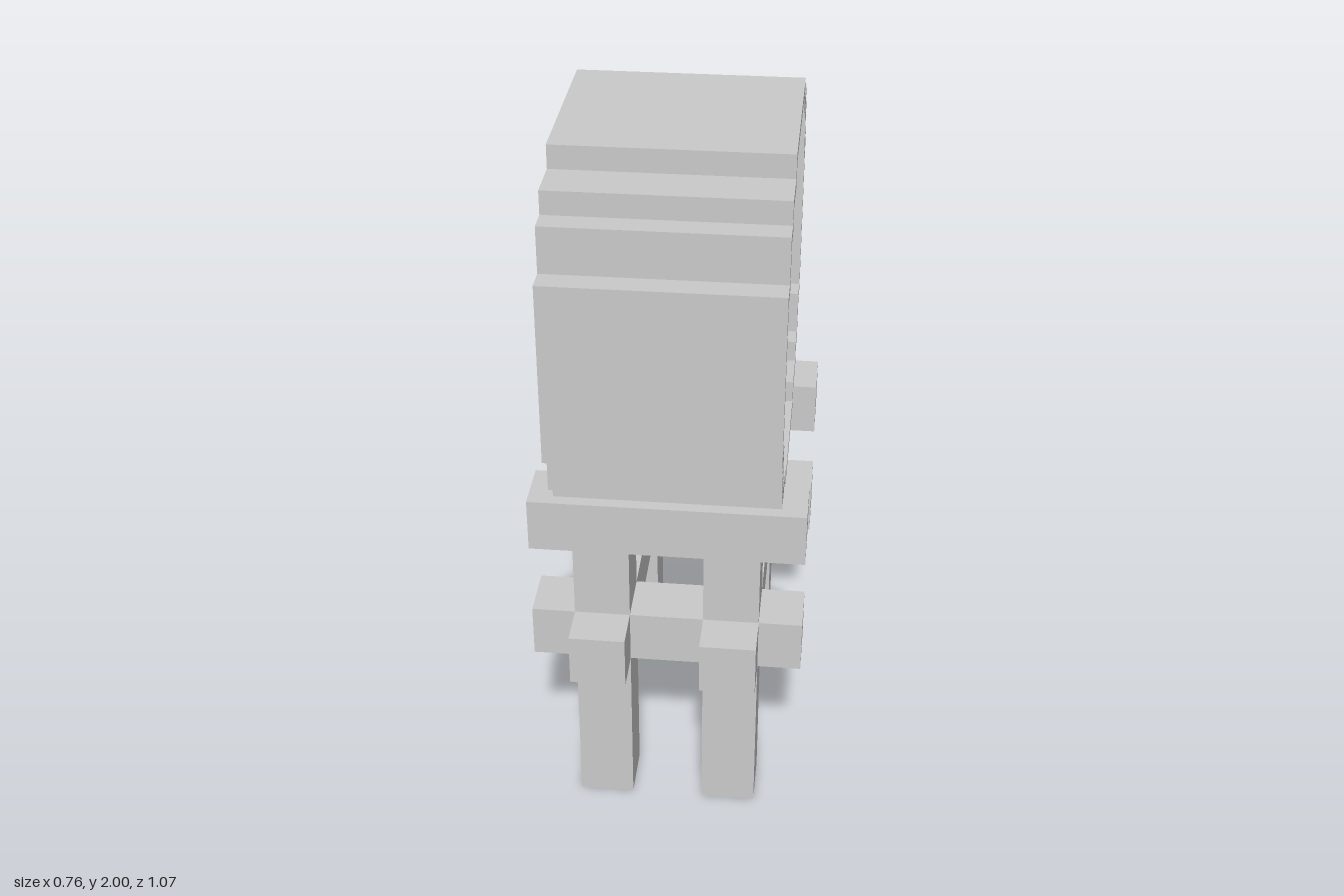
import * as THREE from 'three';

const material = new THREE.MeshStandardMaterial({ color: 0xcccccc, flatShading: true });

const BARREL_Y = 1.485;      // height of the barrel axis
const BARREL_HALF = 0.31;    // half length along x
const RIM = 0.033;           // thickness of the raised rim
const RECESS = 0.035;        // depth of the sunken heads
const BAR = 0.155;           // thickness of every timber

// Stepped round outline, shrunk by an inset; one quadrant turned four times
function outline(inset) {
  const quadrant = [
    [0.515, 0.257], [0.45, 0.257], [0.45, 0.385], [0.385, 0.385],
    [0.385, 0.45], [0.257, 0.45], [0.257, 0.515],
  ];
  const points = [];
  for (let q = 0; q < 4; q++) {
    for (const [a, b] of quadrant) {
      let x = a - inset, y = b - inset;
      for (let i = 0; i < q; i++) [x, y] = [-y, x];
      points.push(new THREE.Vector2(x, y));
    }
  }
  return points;
}

function addMesh(parent, name, geometry, x = 0, y = 0, z = 0) {
  const mesh = new THREE.Mesh(geometry, material);
  mesh.name = name;
  mesh.position.set(x, y, z);
  parent.add(mesh);
  return mesh;
}

function createBarrel() {
  const barrel = new THREE.Group();
  barrel.name = 'barrel';
  barrel.position.y = BARREL_Y;

  // Hollow shell lying along x
  const ring = new THREE.Shape(outline(0));
  ring.holes.push(new THREE.Path(outline(RIM).reverse()));
  const shell = new THREE.ExtrudeGeometry(ring, { depth: 2 * BARREL_HALF, bevelEnabled: false });
  shell.translate(0, 0, -BARREL_HALF).rotateY(Math.PI / 2);
  addMesh(barrel, 'barrelShell', shell);

  // Sunken head at each end
  for (const side of [1, -1]) {
    const head = new THREE.ShapeGeometry(new THREE.Shape(outline(RIM)));
    head.rotateY(side * Math.PI / 2);
    addMesh(barrel, side > 0 ? 'leftHead' : 'rightHead', head, side * (BARREL_HALF - RECESS));
  }
  return barrel;
}

function createStand() {
  const stand = new THREE.Group();
  stand.name = 'stand';
  const legX = 0.18, legZ = 0.338;
  const topY = 0.955, railY = 0.59;

  for (const sz of [1, -1]) {
    const end = sz > 0 ? 'front' : 'back';
    // Cross beams: cradle under the barrel and lower stretcher
    const beam = new THREE.BoxGeometry(0.757, BAR, BAR);
    addMesh(stand, end + 'CradleBeam', beam, 0, topY, sz * legZ);
    addMesh(stand, end + 'Stretcher', beam, 0, railY, sz * legZ);
    // Legs
    for (const sx of [1, -1]) {
      const height = topY - BAR / 2;
      addMesh(stand, end + (sx > 0 ? 'LeftLeg' : 'RightLeg'),
        new THREE.BoxGeometry(BAR, height, BAR), sx * legX, height / 2, sz * legZ);
    }
  }
  // Side rails running front to back
  for (const sx of [1, -1]) {
    addMesh(stand, sx > 0 ? 'leftRail' : 'rightRail',
      new THREE.BoxGeometry(BAR, BAR, 1.07), sx * legX, railY, 0);
  }
  return stand;
}

export function createModel() {
  const model = new THREE.Group();
  model.name = 'barrelOnStand';
  model.add(createBarrel(), createStand());
  return model;
}
